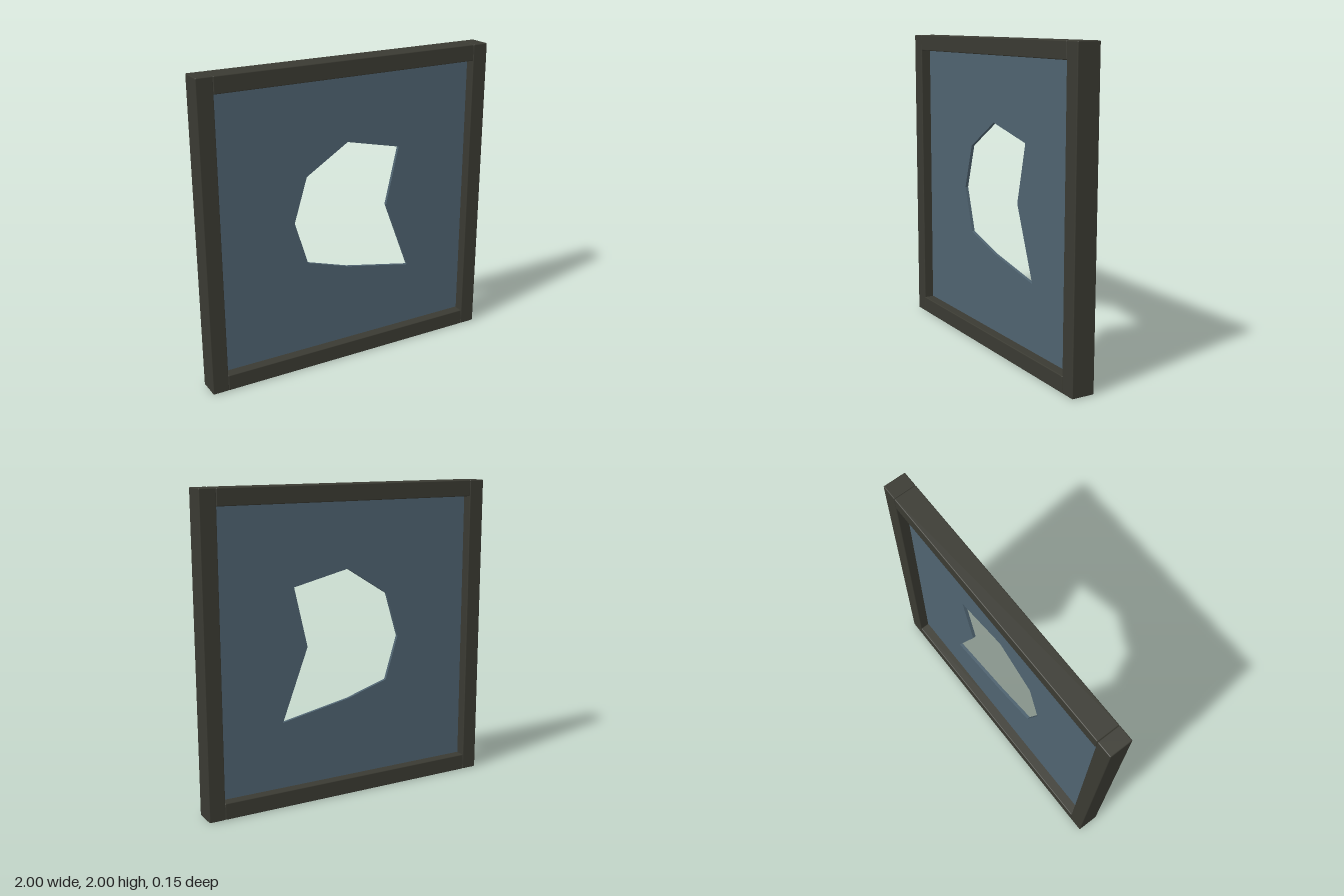
import * as THREE from 'three';
import { RoundedBoxGeometry } from 'three/addons/geometries/RoundedBoxGeometry.js';

export function createModel() {
  const group = new THREE.Group();
  const frameMat = new THREE.MeshStandardMaterial({ color: 0x3a3a32 });
  frameMat.name = 'darkFrame';
  const glassMat = new THREE.MeshStandardMaterial({ color: 0x4f6370 });
  glassMat.name = 'blueGlass';

  const bar = 0.105, depth = 0.15, inner = 1 - bar;

  // Frame bars with slightly softened edges
  const addBar = (name, w, h, x, y) => {
    const mesh = new THREE.Mesh(new RoundedBoxGeometry(w, h, depth, 2, 0.006), frameMat);
    mesh.name = name;
    mesh.position.set(x, y, 0);
    group.add(mesh);
  };
  for (const s of [1, -1]) {
    addBar(s > 0 ? 'leftPost' : 'rightPost', bar, 2, s * (1 - bar / 2), 1);
    addBar(s > 0 ? 'topRail' : 'bottomRail', 2 * inner, bar, 0, 1 + s * (1 - bar / 2));
  }

  // Thin pane, tucked into the frame, with a jagged broken hole
  const half = inner + 0.01, thick = 0.02;
  const pane = new THREE.Shape([
    [-half, 1 - half], [half, 1 - half], [half, 1 + half], [-half, 1 + half],
  ].map(([x, y]) => new THREE.Vector2(x, y)));
  pane.holes.push(new THREE.Path([
    [0, 1.47], [0.378, 1.382], [0.289, 1], [0.466, 0.534],
    [0, 0.624], [-0.29, 0.713], [-0.379, 1], [-0.29, 1.29], [0, 1.47],
  ].map(([x, y]) => new THREE.Vector2(x, y))));
  const geo = new THREE.ExtrudeGeometry(pane, { depth: thick, bevelEnabled: false });
  geo.translate(0, 0, -thick / 2);
  const glass = new THREE.Mesh(geo, glassMat);
  glass.name = 'brokenPane';
  group.add(glass);

  return group;
}
